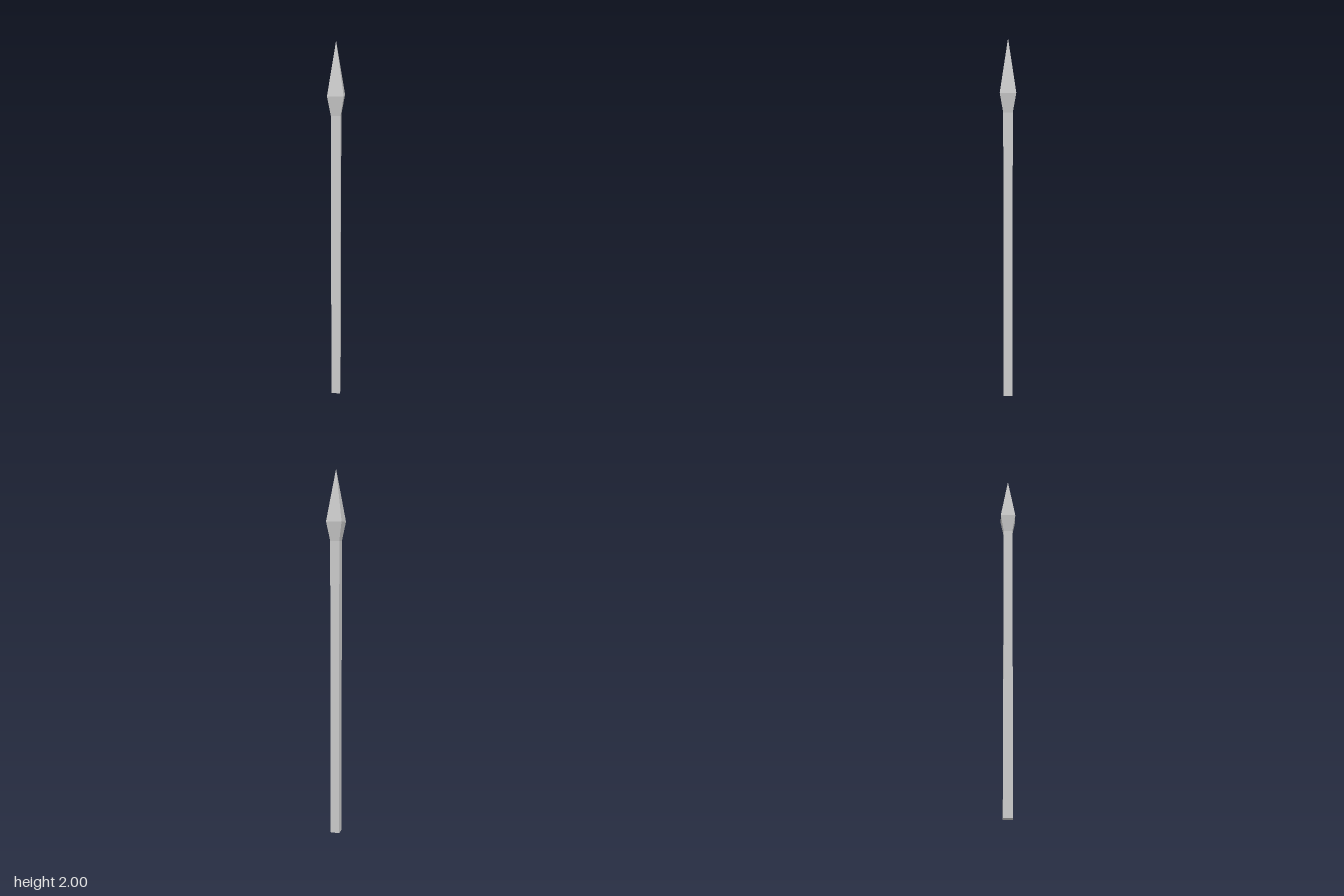
import * as THREE from 'three';

export function createModel() {
  const model = new THREE.Group();
  model.name = 'spear';
  const material = new THREE.MeshStandardMaterial({ color: 0xcccccc, flatShading: true });

  // Square, tapering section between two heights, given its half-widths
  function section(name, bottomHalf, topHalf, y0, y1, open) {
    const geometry = new THREE.CylinderGeometry(
      topHalf * Math.SQRT2, bottomHalf * Math.SQRT2, y1 - y0, 4, 1, open);
    geometry.rotateY(Math.PI / 4);
    geometry.translate(0, (y0 + y1) / 2, 0);
    const mesh = new THREE.Mesh(geometry, material);
    mesh.name = name;
    return mesh;
  }

  // Shaft
  model.add(section('shaft', 0.025, 0.025, 0, 1.63, false));

  // Head: flared socket and pointed tip
  const head = new THREE.Group();
  head.name = 'head';
  head.add(section('headSocket', 0.025, 0.0425, 1.63, 1.73, true));
  head.add(section('headPoint', 0.0425, 0, 1.73, 2, true));
  model.add(head);

  return model;
}
